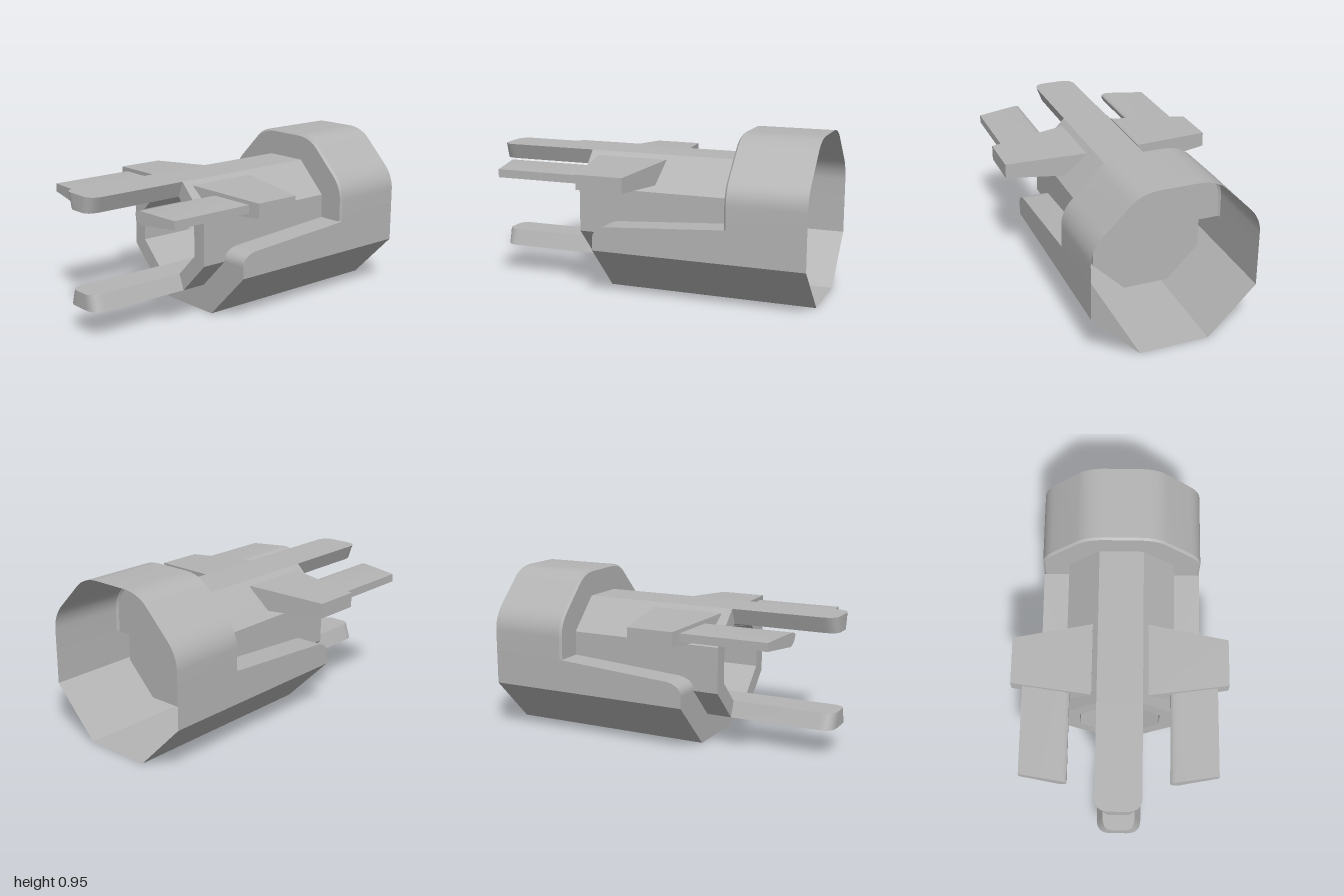
import * as THREE from 'three';
import { toCreasedNormals } from 'three/addons/utils/BufferGeometryUtils.js';

const grey = new THREE.MeshStandardMaterial({ color: 0xb4b4b4, side: THREE.DoubleSide });
grey.name = 'plain grey';

const shapeOf = (pts) => new THREE.Shape(pts.map(([x, y]) => new THREE.Vector2(x, y)));

// Surface lofted through rows of equal length
function sheet(rows) {
  const n = rows[0].length, pos = rows.flat(2), index = [];
  for (let r = 0; r < rows.length - 1; r++) {
    for (let i = 0; i < n - 1; i++) {
      const a = r * n + i, b = a + n;
      index.push(a, a + 1, b, a + 1, b + 1, b);
    }
  }
  const g = new THREE.BufferGeometry();
  g.setAttribute('position', new THREE.Float32BufferAttribute(pos, 3));
  g.setIndex(index);
  g.computeVertexNormals();
  return toCreasedNormals(g, 0.5);
}

// Move every vertex by a rule
function warp(g, rule) {
  const p = g.attributes.position, v = new THREE.Vector3();
  for (let i = 0; i < p.count; i++) {
    rule(v.fromBufferAttribute(p, i));
    p.setXYZ(i, v.x, v.y, v.z);
  }
  g = g.index ? g.toNonIndexed() : g;
  g.computeVertexNormals();
  return toCreasedNormals(g, 0.5);
}

// Eight corners from a top half-width, a side half-width and heights
const octagon = (a, b, y0, y1, y2, y3) => [
  [a, y3], [b, y2], [b, y1], [a, y0], [-a, y0], [-b, y1], [-b, y2], [-a, y3],
];

export function createModel() {
  const model = new THREE.Group();
  const add = (name, geometry) => {
    const m = new THREE.Mesh(geometry, grey);
    m.name = name;
    model.add(m);
    return m;
  };

  // Octagonal barrel with a bore that ends in a bowl
  const outer = octagon(0.13, 0.315, 0.16, 0.345, 0.61, 0.797);
  const barrelShape = shapeOf(outer);
  barrelShape.holes.push(shapeOf(octagon(0.095, 0.23, 0.25, 0.385, 0.57, 0.705)));
  add('barrel', new THREE.ExtrudeGeometry(barrelShape, { depth: 0.99, bevelEnabled: false }).translate(0, 0, -0.6));
  add('barrelBack', new THREE.ShapeGeometry(shapeOf(outer)).translate(0, 0, -0.6));
  const bowl = new THREE.SphereGeometry(0.25, 32, 12, 0, Math.PI * 2, 0, Math.PI / 2);
  add('boreBowl', bowl.rotateX(-Math.PI / 2).translate(0, 0.4775, 0.1));

  // Upper and lower prongs: rounded in plan, narrower towards the bore
  const plan = new THREE.Shape();
  plan.moveTo(-0.13, 0.38);
  plan.lineTo(-0.13, 0.92);
  plan.quadraticCurveTo(-0.13, 1, -0.05, 1);
  plan.lineTo(0.05, 1);
  plan.quadraticCurveTo(0.13, 1, 0.13, 0.92);
  plan.lineTo(0.13, 0.38);
  for (const [name, yOut, dir] of [['upperProng', 0.797, -1], ['lowerProng', 0.16, 1]]) {
    const g = new THREE.ExtrudeGeometry(plan, { depth: 0.092, bevelEnabled: false, curveSegments: 8 });
    add(name, warp(g, (v) => {
      const t = v.z / 0.092;
      v.set(v.x * (1 - 0.27 * t), yOut + dir * v.z, v.y);
    }));
  }

  // Wings and the flat prongs in front of them
  const blade = new THREE.Shape();
  blade.moveTo(0.555, 0.68);
  blade.lineTo(0.555, 0.727);
  blade.lineTo(0.325, 0.74);
  blade.quadraticCurveTo(0.275, 0.738, 0.287, 0.71);
  blade.quadraticCurveTo(0.305, 0.665, 0.335, 0.664);
  blade.closePath();
  for (const s of [1, -1]) {
    const side = s > 0 ? 'left' : 'right';
    add(side + 'Wing', warp(new THREE.BoxGeometry(1, 1, 1), (v) => {
      const t = v.x + 0.5;
      const yMid = 0.705 - 0.003 * t, zMid = 0.123 + 0.004 * t;
      v.set(s * (0.16 + 0.46 * t), yMid + v.y * (0.135 - 0.05 * t), zMid + v.z * (0.425 - 0.15 * t));
    }));
    const g = new THREE.ExtrudeGeometry(blade, { depth: 1, bevelEnabled: false, curveSegments: 6 });
    add(side + 'WingProng', warp(g, (v) => {
      const end = 0.83 - (v.x - 0.285) * 0.17;
      v.set(s * v.x, v.y, v.z > 0.5 ? end : 0.2);
    }));
  }

  // Rear hood: rounded arch, open at the back, with a small front bevel
  const arch = new THREE.Path();
  arch.moveTo(0.475, 0.47);
  arch.lineTo(0.475, 0.6);
  arch.quadraticCurveTo(0.475, 0.69, 0.4, 0.76);
  arch.lineTo(0.26, 0.9);
  arch.quadraticCurveTo(0.2, 0.955, 0.1, 0.955);
  arch.lineTo(0, 0.955);
  const half = arch.getPoints(8).map((p) => [p.x, p.y]);
  const full = [...half, ...half.slice(0, -1).reverse().map(([x, y]) => [-x, y])];
  const inset = full.map(([x, y]) => [x * 0.975, 0.47 + (y - 0.47) * 0.975]);
  const at = (pts, z) => pts.map(([x, y]) => [x, y, z]);
  add('hood', sheet([at(full, -1), at(full, -0.552), at(inset, -0.54)]));
  const hoodWall = [...inset, [-0.315, 0.47], [-0.315, 0.61], [-0.13, 0.797], [0.13, 0.797], [0.315, 0.61], [0.315, 0.47]];
  add('hoodFront', new THREE.ShapeGeometry(shapeOf(hoodWall)).translate(0, 0, -0.54));

  // Lower tray: angled floor and front wall cut around the barrel
  const floor = [[-0.475, 0.28], [-0.2, 0.003], [0.2, 0.003], [0.475, 0.28]];
  add('trayFloor', sheet([at(floor, -1), at(floor, 0.24)]));
  const front = [...floor, [0.475, 0.35], [0.315, 0.35], [0.315, 0.345], [0.13, 0.16],
    [-0.13, 0.16], [-0.315, 0.345], [-0.315, 0.35], [-0.475, 0.35]];
  add('trayFront', new THREE.ShapeGeometry(shapeOf(front)).translate(0, 0, 0.24));

  // Tray sides with a sloping rim that rounds down at the front
  const rim = new THREE.Path();
  rim.moveTo(-0.54, 0.47);
  rim.lineTo(0.14, 0.425);
  rim.bezierCurveTo(0.2, 0.42, 0.24, 0.395, 0.24, 0.35);
  const rimPts = rim.getPoints(10).map((p) => [p.x, p.y]);
  const sidePts = [[-1, 0.28], [-1, 0.47], ...rimPts, [0.24, 0.28]];
  for (const s of [1, -1]) {
    const side = s > 0 ? 'left' : 'right';
    const wall = new THREE.ShapeGeometry(shapeOf(sidePts));
    add(side + 'TraySide', warp(wall, (v) => v.set(s * 0.475, v.y, v.x)));
    add(side + 'TrayRim', sheet([0.315, 0.475].map((x) => rimPts.map(([z, y]) => [s * x, y, z]))));
  }
  return model;
}
